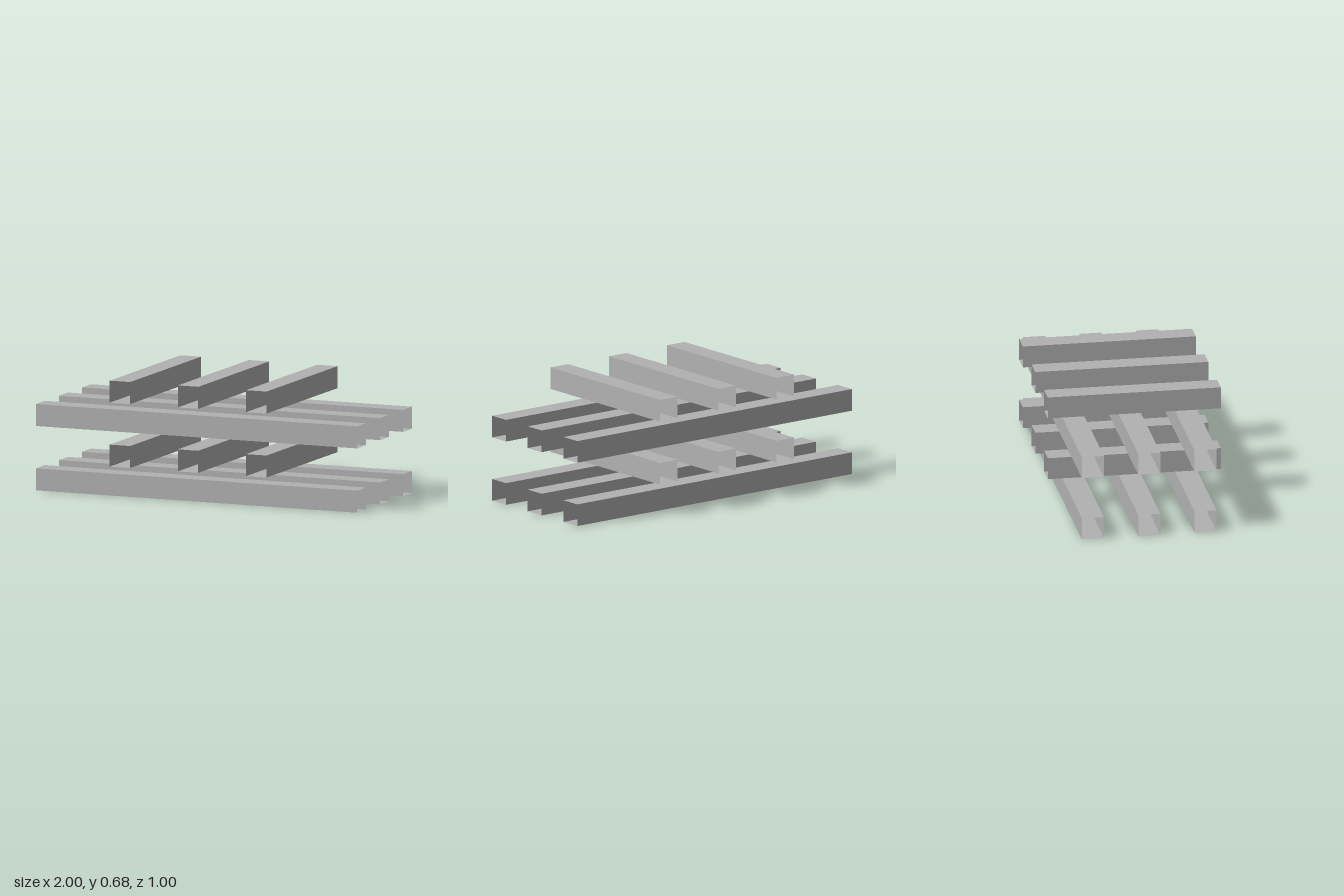
import * as THREE from 'three';

const SIZE = 0.127; // outer width of each square tube

// Thin square tube, open at both ends, running along z
function squareTube(length) {
  const tube = new THREE.CylinderGeometry(SIZE / Math.SQRT2, SIZE / Math.SQRT2, length, 4, 1, true, Math.PI / 4);
  tube.rotateX(Math.PI / 2);
  const flat = tube.toNonIndexed();
  flat.computeVertexNormals();
  return flat;
}

export function createModel() {
  const model = new THREE.Group();
  model.name = 'stackedTubes';

  const steel = new THREE.MeshStandardMaterial({ color: 0xb2b2b2, side: THREE.DoubleSide, flatShading: true });
  steel.name = 'grey steel';

  const longTube = squareTube(2).rotateY(Math.PI / 2);
  const crossTube = squareTube(1);

  function addTube(name, geometry, x, y, z) {
    const mesh = new THREE.Mesh(geometry, steel);
    mesh.name = name;
    mesh.position.set(x, y, z);
    model.add(mesh);
  }

  // Two layers of long tubes, running left to right
  for (const y of [0.066, 0.437]) {
    for (const z of [-0.326, 0, 0.325]) addTube('longTube', longTube, 0, y, z);
  }

  // Two layers of cross tubes, running front to back
  for (const y of [0.252, 0.621]) {
    for (const x of [-0.427, -0.003, 0.422]) addTube('crossTube', crossTube, x, y, 0);
  }

  return model;
}
